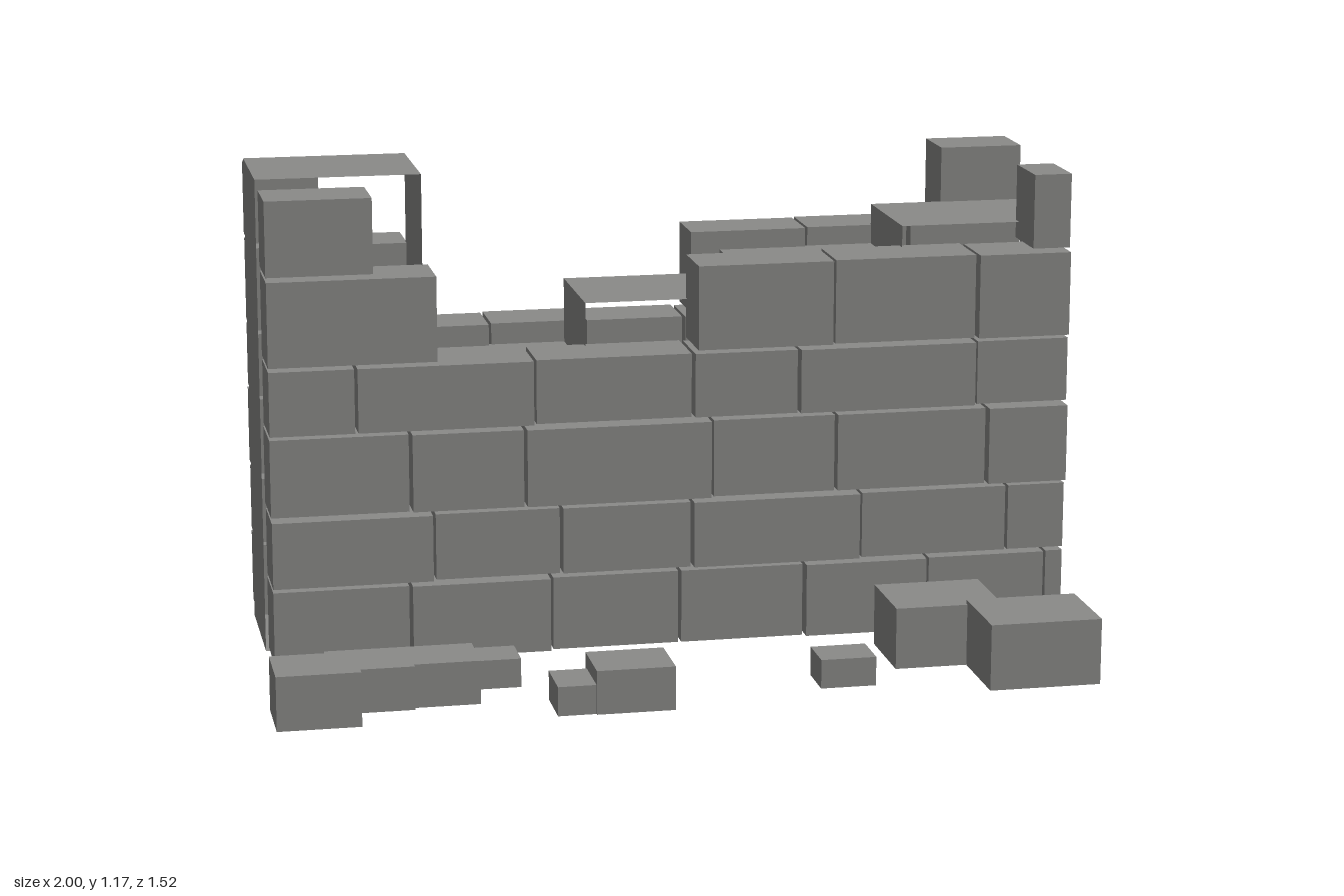
import * as THREE from 'three';

const stone = new THREE.MeshStandardMaterial({ color: 0x8b8b89, side: THREE.DoubleSide });
stone.name = 'grey stone';

// box given by its extents on each axis
function block(parent, name, x0, x1, y0, y1, z0, z1) {
  const mesh = new THREE.Mesh(new THREE.BoxGeometry(x1 - x0, y1 - y0, z1 - z0), stone);
  mesh.position.set((x0 + x1) / 2, (y0 + y1) / 2, (z0 + z1) / 2);
  mesh.name = name;
  parent.add(mesh);
  return mesh;
}

function group(parent, name) {
  const g = new THREE.Group();
  g.name = name;
  parent.add(g);
  return g;
}

// bottom and top of each course of blocks
const courses = [[0.015, 0.195], [0.205, 0.367], [0.377, 0.566], [0.577, 0.733], [0.742, 0.947], [0.957, 1.138]];

// runs of joints along x for each course; a gap separates two runs
const frontRuns = [
  [[-0.965, -0.632, -0.29, 0.025, 0.335, 0.645, 0.945, 0.995]],
  [[-0.965, -0.573, -0.265, 0.055, 0.475, 0.845, 0.995]],
  [[-0.965, -0.627, -0.352, 0.105, 0.412, 0.79, 0.995]],
  [[-0.965, -0.755, -0.327, 0.058, 0.317, 0.76, 0.995]],
  [[-0.965, -0.557], [0.065, 0.404, 0.76, 0.995]],
  [[-0.965, -0.705], [0.895, 0.995]],
];
const backRuns = [
  [[-0.965, -0.55, -0.14, 0.26, 0.56, 0.995]],
  [[-0.965, -0.63, -0.26, 0, 0.37, 0.775, 0.995]],
  [[-0.965, -0.59, -0.1, 0.26, 0.6, 0.995]],
  [[-0.965, -0.66, -0.37, -0.13, 0.12, 0.5, 0.75, 0.995]],
  [[-0.965, -0.57], [0.135, 0.435, 0.7, 0.995]],
  [[-0.965, -0.785], [0.78, 0.995]],
];

function facing(parent, name, runs, z0, z1) {
  const side = group(parent, name);
  runs.forEach((row, r) => row.forEach(joints => {
    for (let i = 0; i < joints.length - 1; i++) {
      // blocks sit slightly in or out of the wall plane
      const shift = 0.008 * Math.sin(r * 2.3 + i * 1.9);
      block(side, 'wallBlock', joints[i] + 0.004, joints[i + 1] - 0.004,
        courses[r][0], courses[r][1], z0 + shift, z1 + shift);
    }
  }));
}

// loose blocks: x0, x1, z0, z1, height
const rubbleFront = [
  [-1, -0.805, 0.58, 0.74, 0.13], [-0.865, -0.67, 0.487, 0.642, 0.105],
  [-0.67, -0.515, 0.487, 0.628, 0.105], [-0.53, -0.403, 0.415, 0.52, 0.07],
  [-0.355, -0.26, 0.625, 0.752, 0.07], [-0.265, -0.08, 0.608, 0.758, 0.105],
  [0.287, 0.42, 0.56, 0.668, 0.07], [0.498, 0.758, 0.347, 0.555, 0.15],
  [0.673, 0.942, 0.545, 0.76, 0.16],
];
const rubbleBack = [
  [-0.92, -0.65, -0.74, -0.52, 0.11], [-0.715, -0.44, -0.717, -0.495, 0.13],
  [-0.783, -0.54, -0.57, -0.375, 0.14], [-0.905, -0.772, -0.435, -0.328, 0.08],
  [-0.333, -0.108, -0.568, -0.39, 0.11], [0.39, 0.61, -0.765, -0.592, 0.14],
  [0.368, 0.508, -0.445, -0.338, 0.085],
];

export function createModel() {
  const model = new THREE.Group();
  model.name = 'ruinedWall';

  // core columns of broken height, open towards the front and back
  const core = group(model, 'wallCore');
  const edges = [-0.97, -0.576, -0.182, 0.212, 0.604, 0.997];
  [1.168, 0.68, 0.84, 0.9, 1.0].forEach((top, i) => {
    const { geometry } = block(core, 'coreColumn', edges[i], edges[i + 1], 0.012, top, -0.145, 0.16);
    geometry.setIndex(Array.from(geometry.index.array.slice(0, 24)));
    geometry.clearGroups();
  });

  // stone courses on both faces
  facing(model, 'frontCourses', frontRuns, 0.142, 0.293);
  facing(model, 'backCourses', backRuns, -0.28, -0.134);

  // fallen blocks on the ground
  for (const [name, list] of [['frontRubble', rubbleFront], ['backRubble', rubbleBack]]) {
    const pile = group(model, name);
    list.forEach(([x0, x1, z0, z1, h]) => block(pile, 'fallenBlock', x0, x1, 0, h, z0, z1));
  }
  return model;
}
